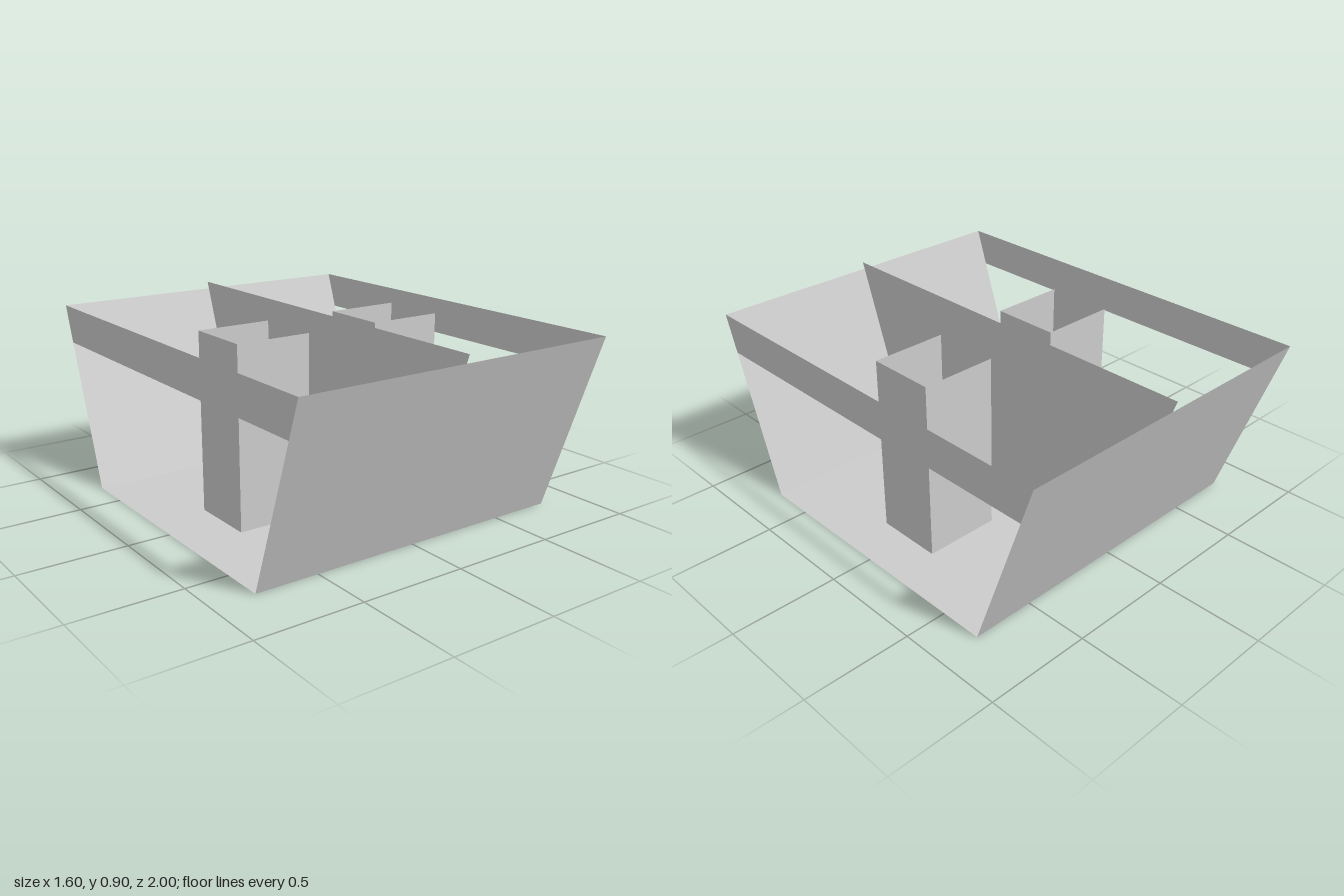
import * as THREE from 'three';

const HALF_W = 0.8;                 // half width of the trough
const TOP_Z = 1, FLOOR_Z = 0.7;     // half length at the rim and at the floor
const H = 0.864;                    // rim height
const LIFT = 0.036;                 // partition sits this much higher

const material = new THREE.MeshStandardMaterial({
  color: 0xcccccc, flatShading: true, side: THREE.DoubleSide,
});

const zAt = (y) => FLOOR_Z + (TOP_Z - FLOOR_Z) * y / H;

function addMesh(parent, name, geometry) {
  const mesh = new THREE.Mesh(geometry, material);
  mesh.name = name;
  parent.add(mesh);
  return mesh;
}

// Thin four-cornered sheet, corners counter-clockwise from its face side
function sheet(a, b, c, d) {
  const g = new THREE.BufferGeometry();
  g.setAttribute('position', new THREE.Float32BufferAttribute([a, b, c, a, c, d].flat(), 3));
  g.computeVertexNormals();
  return g;
}

// Upright trapezoid at a given x, following the slope of the end walls
function crossSheet(x, y0, y1, lift = 0) {
  const z0 = zAt(y0), z1 = zAt(y1);
  const corners = [[x, y0 + lift, z0], [x, y0 + lift, -z0], [x, y1 + lift, -z1], [x, y1 + lift, z1]];
  return sheet(...(x < 0 ? corners.reverse() : corners));
}

// Square hollow post, open at both ends
function hollowPost(x0, x1, z, height) {
  const post = new THREE.Group();
  const ring = [[x0, z], [x1, z], [x1, -z], [x0, -z]];
  ['front', 'left', 'back', 'right'].forEach((side, i) => {
    const [ax, az] = ring[i], [bx, bz] = ring[(i + 1) % 4];
    addMesh(post, side + 'PostWall',
      sheet([ax, 0, az], [bx, 0, bz], [bx, height, bz], [ax, height, az]));
  });
  return post;
}

export function createModel() {
  const model = new THREE.Group();
  model.name = 'dividedTrough';

  // Floor and the two sloping end walls
  addMesh(model, 'floor', sheet(
    [-HALF_W, 0, FLOOR_Z], [HALF_W, 0, FLOOR_Z], [HALF_W, 0, -FLOOR_Z], [-HALF_W, 0, -FLOOR_Z]));
  for (const [name, s] of [['frontWall', 1], ['backWall', -1]]) {
    addMesh(model, name, sheet(
      [-s * HALF_W, 0, s * FLOOR_Z], [s * HALF_W, 0, s * FLOOR_Z],
      [s * HALF_W, H, s * TOP_Z], [-s * HALF_W, H, s * TOP_Z]));
  }

  // Narrow rails along the open sides
  addMesh(model, 'leftRail', crossSheet(HALF_W, H - 0.175, H));
  addMesh(model, 'rightRail', crossSheet(-HALF_W, H - 0.175, H));

  // Middle partition, slightly raised
  addMesh(model, 'partition', crossSheet(0, 0, H, LIFT));

  // One hollow post in each compartment
  for (const [name, x0] of [['leftPost', 0.207], ['rightPost', -0.532]]) {
    const post = hollowPost(x0, x0 + 0.369, 0.163, 0.853);
    post.name = name;
    model.add(post);
  }
  return model;
}
